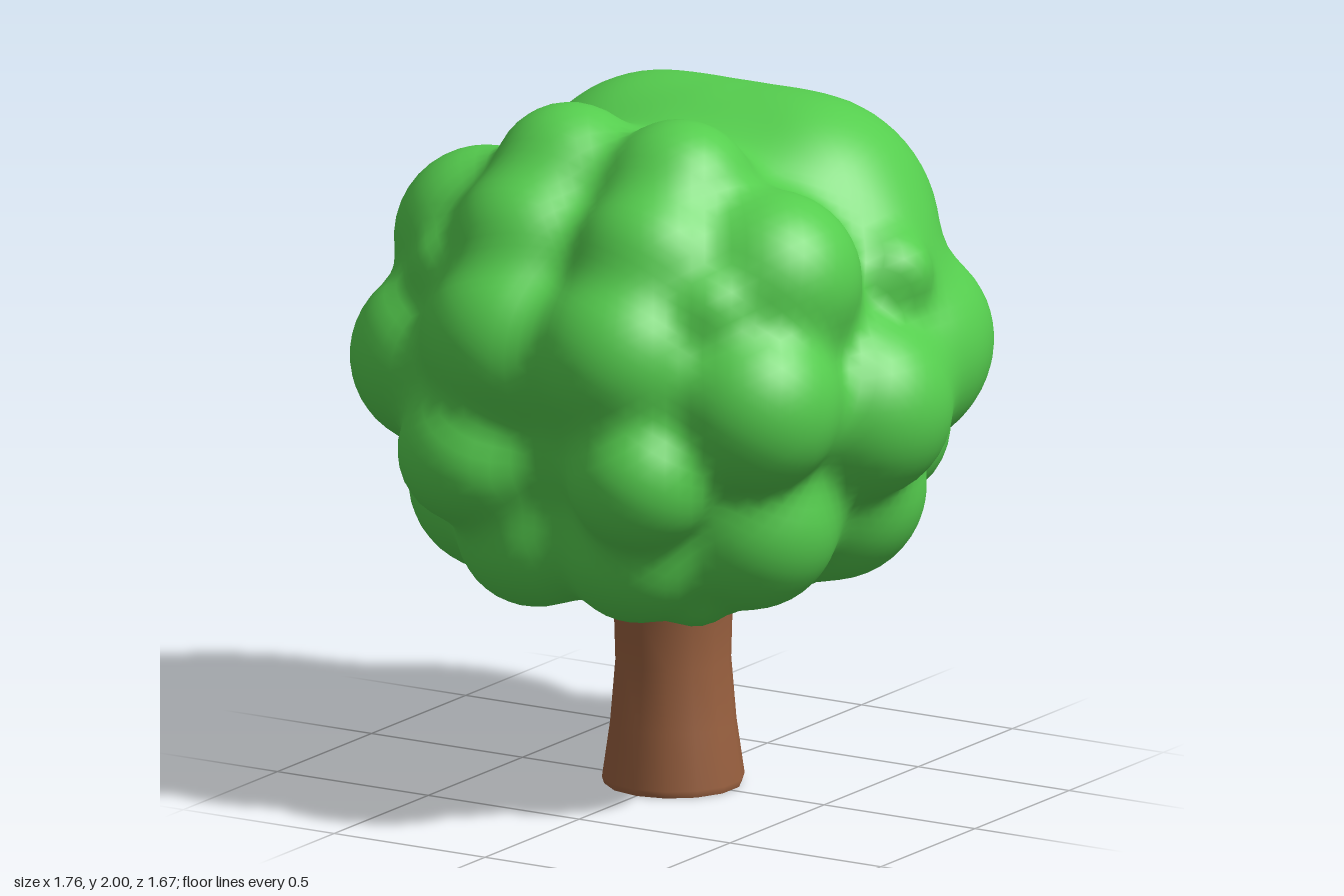
import * as THREE from 'three';
import { mergeVertices } from 'three/addons/utils/BufferGeometryUtils.js';

// Leaf clumps as [x, y, z, radius]; those off the centre line are mirrored
const clumps = [
  [0, 1.21, 0, 0.7],          // core
  [0.61, 1.18, 0, 0.27],      // side
  [0.51, 1.26, 0.41, 0.26],   // front corner
  [0.28, 1.06, 0.62, 0.21],   // low front knob
  [0.18, 1.38, 0.55, 0.27],   // front middle
  [0.2, 1.62, 0.42, 0.24],    // front upper
  [0.18, 1.78, 0.26, 0.22],   // front crown
  [0.47, 1.57, 0.24, 0.26],   // shoulder
  [0.22, 1.55, -0.29, 0.41],  // back crown
  [0, 1.54, -0.28, 0.42],     // back crown, middle
  [0.53, 1.25, -0.26, 0.27],  // back corner, side
  [0.49, 1.27, -0.39, 0.28],  // back corner
  [0.41, 1.48, -0.23, 0.28],  // back shoulder
  [0.65, 1.54, -0.14, 0.1],   // shoulder knob
  [0.44, 1.54, 0.5, 0.1],     // front shoulder knob
  [0, 1.29, -0.52, 0.32],     // back middle
  [0.3, 0.96, -0.56, 0.23],   // low back
  [0.41, 0.88, -0.18, 0.27],  // low side, back
  [0.41, 0.88, 0.26, 0.26],   // low side, front
  [0.17, 0.82, 0.45, 0.23],   // low front
  [0.14, 0.79, -0.34, 0.28],  // underside, back
  [0, 0.83, -0.05, 0.33],     // underside, middle
  [0.29, 0.66, 0.34, 0.09],   // underside knob
];
const spheres = clumps.flatMap(([x, y, z, r]) =>
  (x ? [1, -1] : [1]).map((s) => ({ c: new THREE.Vector3(s * x, y, z), r })));

// Distance to the softly blended clumps
function distance(p) {
  const k = 0.075;
  let d = 10;
  for (const { c, r } of spheres) {
    const e = p.distanceTo(c) - r;
    const h = Math.max(k - Math.abs(d - e), 0) / k;
    d = Math.min(d, e) - h * h * k * 0.25;
  }
  return d;
}

// Shrink-wrap a ball onto the blended clumps
function foliageGeometry() {
  let geo = new THREE.IcosahedronGeometry(1, 24);
  geo.deleteAttribute('uv');
  geo.deleteAttribute('normal');
  geo = mergeVertices(geo, 1e-4);
  const pos = geo.attributes.position;
  const centre = new THREE.Vector3(0, 1.22, 0);
  const dir = new THREE.Vector3();
  const p = new THREE.Vector3();
  for (let i = 0; i < pos.count; i++) {
    dir.fromBufferAttribute(pos, i).normalize();
    let t = 1.2;
    for (let n = 0; n < 40; n++) {
      const d = distance(p.copy(centre).addScaledVector(dir, t));
      t -= d;
      if (d < 0.0005) break;
    }
    p.copy(centre).addScaledVector(dir, t);
    pos.setXYZ(i, p.x, p.y, p.z);
  }
  geo.computeVertexNormals();
  return geo;
}

export function createModel() {
  const tree = new THREE.Group();
  tree.name = 'tree';
  const leaf = new THREE.MeshStandardMaterial({ color: 0x55cd4e });
  leaf.name = 'leaf green';
  const bark = new THREE.MeshStandardMaterial({ color: 0x99603f });
  bark.name = 'bark brown';

  const foliage = new THREE.Mesh(foliageGeometry(), leaf);
  foliage.name = 'foliage';
  tree.add(foliage);

  // Trunk flares at the foot and slightly under the leaves
  const profile = [[0.196, 0], [0.202, 0.02], [0.179, 0.18], [0.164, 0.36], [0.168, 0.5], [0.18, 0.6]]
    .map(([r, y]) => new THREE.Vector2(r, y));
  const trunk = new THREE.Mesh(new THREE.LatheGeometry(profile, 14), bark);
  trunk.name = 'trunk';
  tree.add(trunk);

  const base = new THREE.Mesh(new THREE.CircleGeometry(0.196, 14).rotateX(Math.PI / 2), bark);
  base.rotation.y = Math.PI / 2;
  base.name = 'trunkBase';
  tree.add(base);

  return tree;
}
